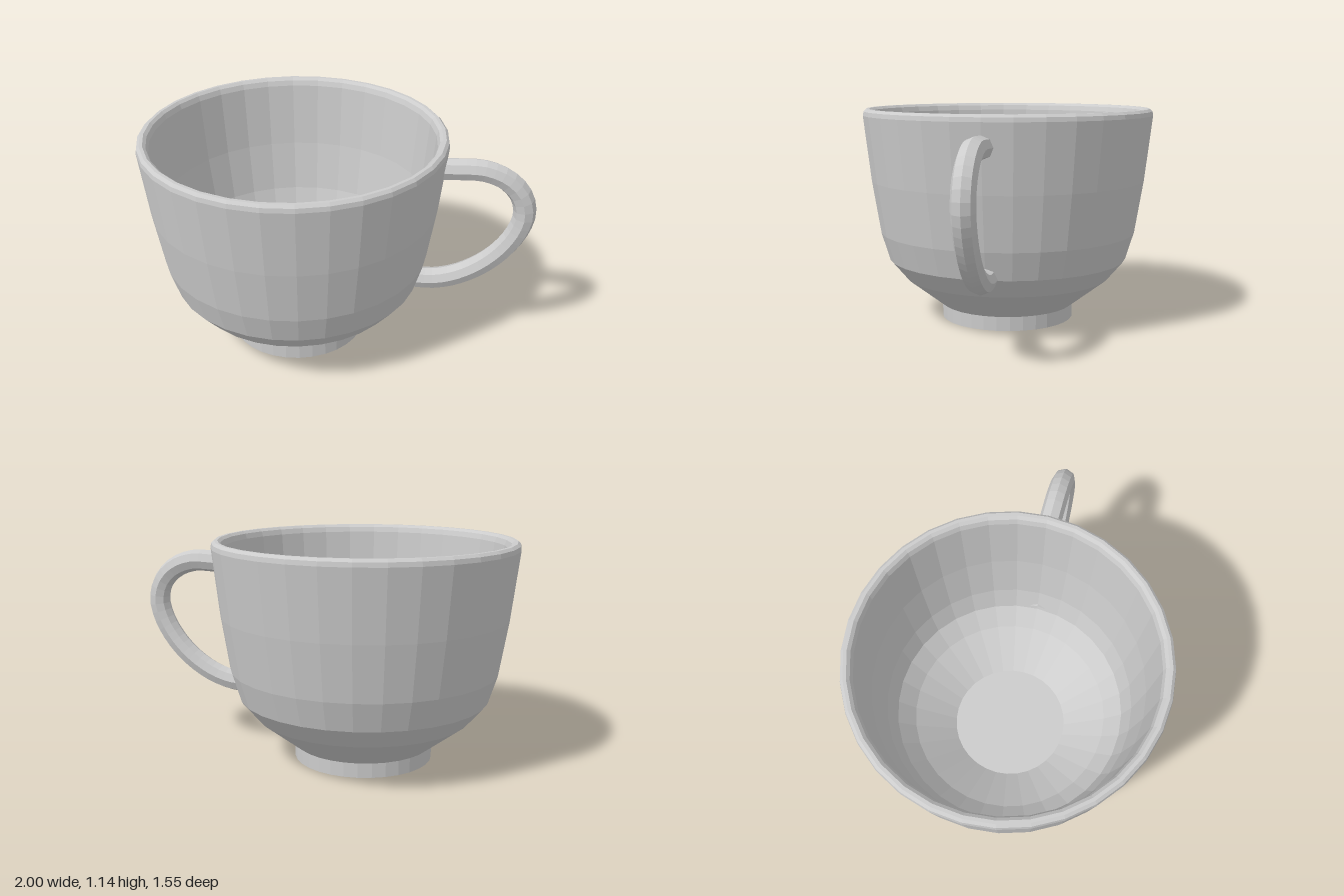
import * as THREE from 'three';

const CUP_X = -0.225;

export function createModel() {
  const model = new THREE.Group();
  const material = new THREE.MeshStandardMaterial({ color: 0xcccccc, flatShading: true });

  const addMesh = (name, geometry) => {
    const mesh = new THREE.Mesh(geometry, material);
    mesh.name = name;
    model.add(mesh);
    return mesh;
  };

  // Bowl, foot and hollow interior: one closed profile, from the underside up and back in
  const profile = [
    [0, 0], [0.358, 0], [0.358, 0.075],
    [0.558, 0.23], [0.645, 0.333], [0.69, 0.48], [0.735, 0.76],
    [0.775, 1.105], [0.771, 1.127], [0.757, 1.14],
    [0.741, 1.14], [0.726, 1.127], [0.716, 1.1],
    [0.683, 0.76], [0.64, 0.49], [0.6, 0.36], [0.515, 0.262],
    [0.303, 0.1], [0, 0.1],
  ].map(([r, y]) => new THREE.Vector2(r, y));
  addMesh('cupBody', new THREE.LatheGeometry(profile, 32)).position.x = CUP_X;

  // Handle: a round bar swept along an ear-shaped curve, its ends buried in the wall
  const path = new THREE.CatmullRomCurve3([
    [0.505, 0.985], [0.6, 0.99], [0.73, 0.99], [0.84, 0.948], [0.915, 0.87],
    [0.942, 0.77], [0.915, 0.66], [0.84, 0.54], [0.74, 0.445],
    [0.62, 0.375], [0.5, 0.342], [0.375, 0.342],
  ].map(([x, y]) => new THREE.Vector3(x, y, 0)), false, 'centripetal');
  addMesh('handle', new THREE.TubeGeometry(path, 30, 0.057, 8, false));

  return model;
}
